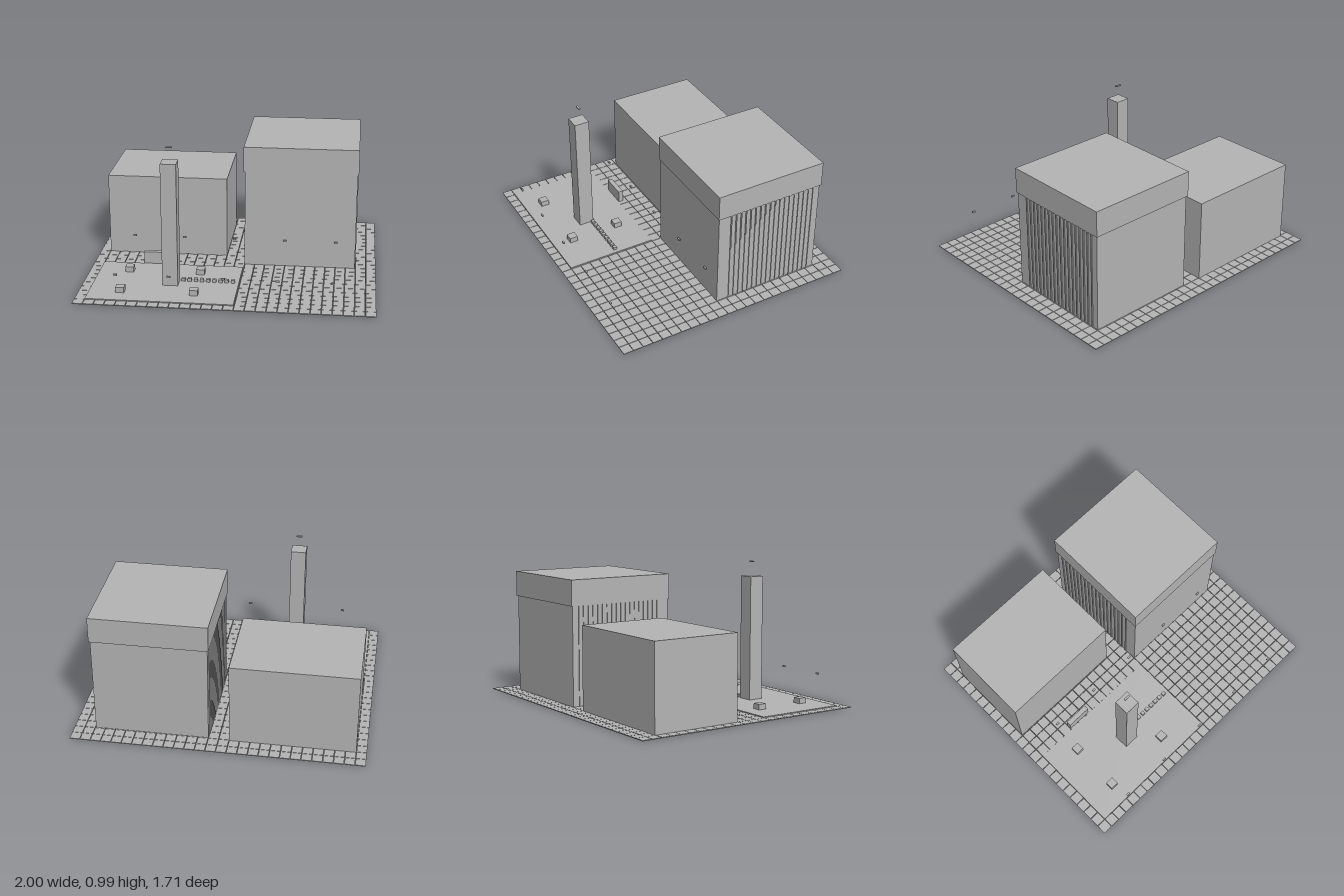
import * as THREE from 'three';
import { mergeGeometries } from 'three/addons/utils/BufferGeometryUtils.js';

const stone = new THREE.MeshStandardMaterial({ color: 0xb4b4b4 });
stone.name = 'grey stone';

// Box geometry from its min and max on each axis
function block(x0, x1, y0, y1, z0, z1) {
  return new THREE.BoxGeometry(x1 - x0, y1 - y0, z1 - z0)
    .translate((x0 + x1) / 2, (y0 + y1) / 2, (z0 + z1) / 2);
}

export function createModel() {
  const model = new THREE.Group();
  model.name = 'cityPlaza';
  const add = (name, ...geometries) => {
    const mesh = new THREE.Mesh(mergeGeometries(geometries), stone);
    mesh.name = name;
    model.add(mesh);
  };

  const ground = 0.006, deck = 0.012;

  // Paving tiles with narrow joints
  const gap = 0.0035, pitch = (2 + gap) / 28, half = (pitch - gap) / 2;
  const tiles = [];
  for (let i = 0; i < 28; i++) {
    for (let j = 0; j < 24; j++) {
      const x = (i - 13.5) * pitch, z = (j - 11.5) * pitch;
      tiles.push(block(x - half, x + half, 0, ground, z - half, z + half));
    }
  }
  add('pavingTiles', ...tiles);

  // Raised plaza
  add('plazaDeck', block(-0.93, 0.066, ground, deck, 0.143, 0.787));

  // Low building
  add('lowBuilding', block(-0.93, -0.071, ground, 0.59, -0.72, -0.077));

  // Tall building: body, overhanging top storey and fins on both sides
  add('tallBuildingBody', block(0.071, 0.853, ground, 0.70, -0.71, 0.073));
  add('tallBuildingTop', block(0.063, 0.861, 0.70, 0.88, -0.72, 0.08));
  const fins = [];
  for (let i = 0; i < 18; i++) {
    const z = -0.019 - i * 0.0377;
    for (const [x0, x1] of [[0.065, 0.073], [0.851, 0.859]]) {
      fins.push(block(x0, x1, ground, 0.70, z - 0.004, z + 0.004));
    }
  }
  add('facadeFins', ...fins);

  // Tower and the light floating over it
  add('tower', block(-0.45, -0.343, deck, 0.88, 0.411, 0.518));
  add('towerBeacon', block(-0.418, -0.375, 0.977, 0.985, 0.456, 0.47));

  // Planters on the plaza
  for (const x of [-0.716, -0.216]) {
    for (const z of [0.285, 0.642]) {
      add('planter', block(x - 0.029, x + 0.029, deck, 0.05, z - 0.029, z + 0.029));
    }
  }

  // Row of small stones beside the tower
  for (let i = 0; i < 9; i++) {
    const x = -0.317 + i * 0.0428;
    add('rowStone', block(x - 0.013, x + 0.013, deck, 0.033, 0.411, 0.436));
  }

  // Standing wall by the low building
  add('standingWall', block(-0.643, -0.465, ground, 0.095, 0.1, 0.135));

  // Floating lamp heads in two rows
  for (let i = -2; i <= 2; i++) {
    for (const z of [0.087, 0.804]) {
      const x = i * 0.357;
      add('lampHead', block(x - 0.012, x + 0.012, 0.195, 0.206, z - 0.006, z + 0.006));
    }
  }

  return model;
}
